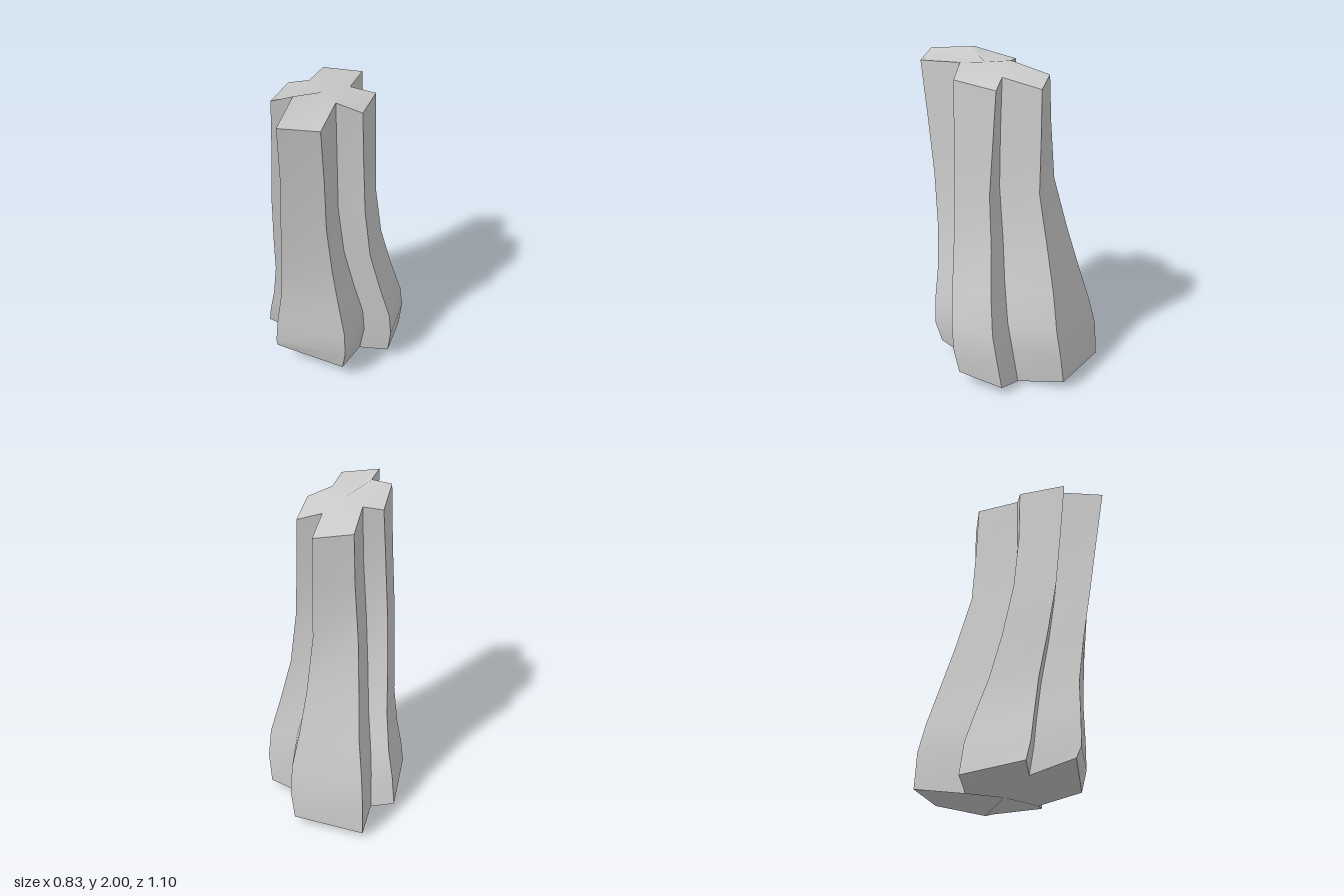
import * as THREE from 'three';

// Cross-shaped sections from bottom to top:
// x: left arm, inner left, inner right, right notch, right arm
// z: back arm, inner back, inner front, front arm; skew: z per x at back / front
const sections = [
  { y: 0.05, x: [-0.415, -0.265, 0.17, 0.21, 0.40], z: [-0.53, -0.24, 0.09, 0.35], skew: [0.08, 0] },
  { y: 0.25, x: [-0.395, -0.26, 0.195, 0.245, 0.42], z: [-0.52, -0.22, 0.115, 0.38], skew: [0.08, 0] },
  { y: 0.42, x: [-0.36, -0.245, 0.19, 0.235, 0.41], z: [-0.485, -0.18, 0.13, 0.38], skew: [0.07, 0] },
  { y: 0.65, x: [-0.33, -0.215, 0.15, 0.18, 0.35], z: [-0.43, -0.12, 0.155, 0.375], skew: [0.03, 0] },
  { y: 0.92, x: [-0.315, -0.195, 0.115, 0.125, 0.285], z: [-0.36, -0.07, 0.19, 0.395], skew: [-0.03, -0.05] },
  { y: 1.25, x: [-0.295, -0.17, 0.09, 0.095, 0.25], z: [-0.285, -0.025, 0.22, 0.43], skew: [-0.1, -0.13] },
  { y: 1.6, x: [-0.27, -0.145, 0.09, 0.09, 0.235], z: [-0.28, -0.02, 0.235, 0.47], skew: [-0.2, -0.2] },
  { y: 1.95, x: [-0.25, -0.135, 0.085, 0.085, 0.225], z: [-0.275, -0.025, 0.25, 0.515], skew: [-0.25, -0.27] },
];

// Corner order (x index, z index), counter-clockwise seen from above
const corners = [[1, 3], [2, 3], [3, 2], [4, 2], [4, 1], [3, 1], [2, 0], [1, 0], [1, 1], [0, 1], [0, 2], [1, 2]];

// Uneven heights of the two cut ends, per corner
const bottomY = [0.18, 0.11, 0.05, 0.085, 0.06, 0, 0.06, 0.035, 0, 0.06, 0.13, 0.09];
const topY = [1.96, 1.945, 1.965, 1.905, 1.88, 1.915, 1.88, 1.9, 1.95, 1.93, 1.97, 2.0];

function ring(section, heights) {
  return corners.map(([i, j], k) => {
    const x = section.x[i];
    const z = section.z[j] + section.skew[j < 2 ? 0 : 1] * x;
    return [x, heights ? heights[k] : section.y, z];
  });
}

function makeMesh(name, points, index) {
  const geometry = new THREE.BufferGeometry();
  geometry.setAttribute('position', new THREE.Float32BufferAttribute(points.flat(), 3));
  geometry.setIndex(index);
  geometry.computeVertexNormals();
  const mesh = new THREE.Mesh(geometry, new THREE.MeshStandardMaterial({ color: 0xcccccc }));
  mesh.name = name;
  return mesh;
}

// Fan over one end from a centre point
function makeCap(name, outline, centre, up) {
  const n = outline.length;
  const index = [];
  for (let k = 0; k < n; k++) {
    const a = k + 1, b = ((k + 1) % n) + 1;
    index.push(0, ...(up ? [a, b] : [b, a]));
  }
  return makeMesh(name, [centre, ...outline], index);
}

export function createModel() {
  const group = new THREE.Group();
  group.name = 'crossPillar';
  const last = sections.length - 1;
  const rings = sections.map((s, i) => ring(s, i === 0 ? bottomY : i === last ? topY : null));

  // Sides: one strip per pair of corners, smooth along its length, sharp at its edges
  const points = [], index = [];
  for (let k = 0; k < corners.length; k++) {
    const start = points.length;
    rings.forEach((r, i) => {
      points.push(r[k], r[(k + 1) % corners.length]);
      if (i < last) {
        const a = start + i * 2;
        index.push(a, a + 1, a + 3, a, a + 3, a + 2);
      }
    });
  }
  group.add(makeMesh('pillarSides', points, index));

  // Cut ends
  group.add(makeCap('topEnd', rings[last], [-0.02, 1.955, 0.12], true));
  group.add(makeCap('bottomEnd', rings[0], [-0.04, 0.035, -0.08], false));
  return group;
}
